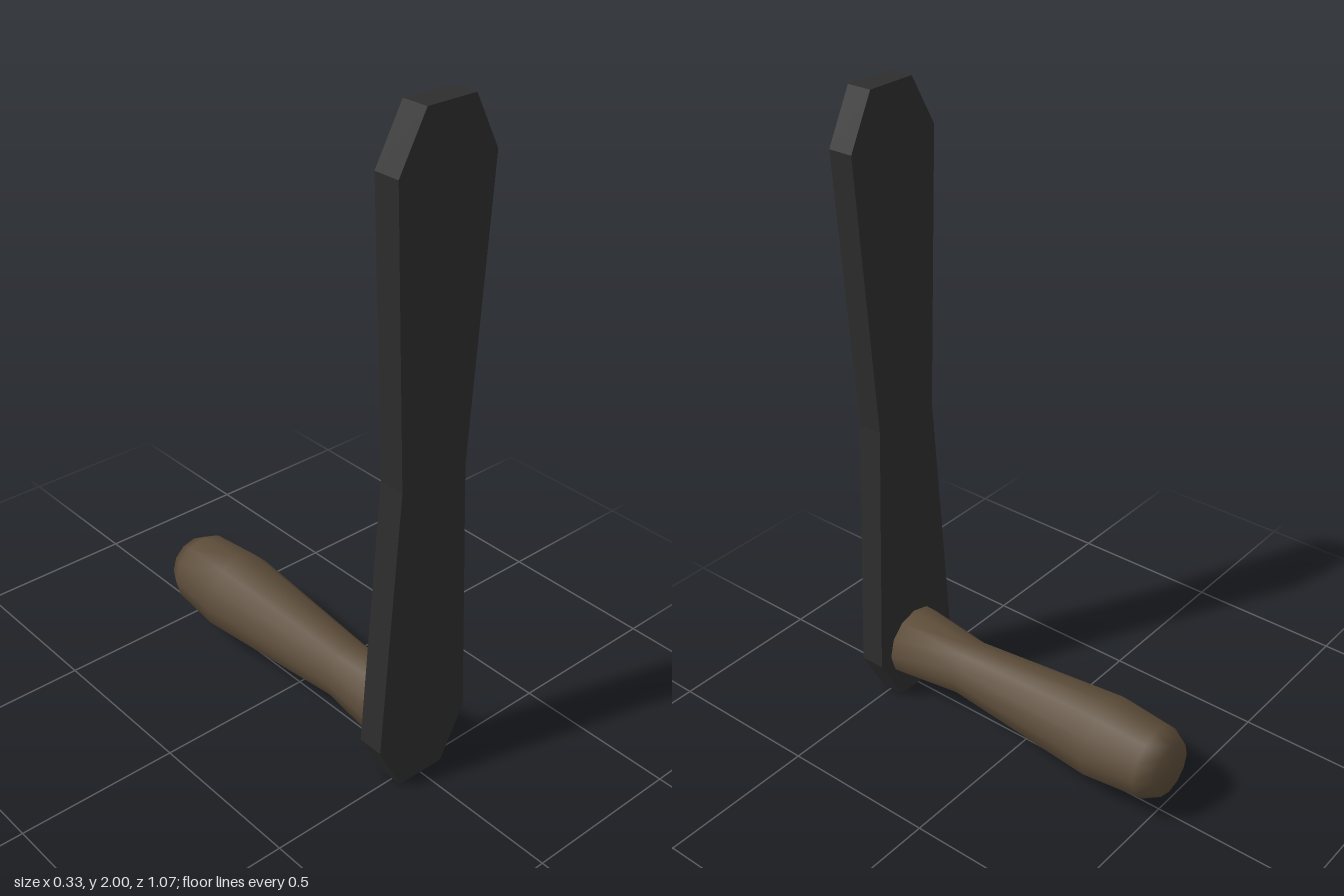
import * as THREE from 'three';

export function createModel() {
  const model = new THREE.Group();
  model.name = 'crankHandle';

  const darkMetal = new THREE.MeshStandardMaterial({ color: 0x2d2d2d });
  darkMetal.name = 'darkMetal';
  const brownWood = new THREE.MeshStandardMaterial({ color: 0x5c4c39 });
  brownWood.name = 'brownWood';

  // Flat arm: chamfered ends and a narrow waist, mirrored left to right
  const side = [[0.08, 0], [0.163, 0.16], [0.114, 0.99], [0.163, 1.845], [0.08, 2]];
  const outline = [...side, ...side.map(([x, y]) => [-x, y]).reverse()];
  const armShape = new THREE.Shape(outline.map(([x, y]) => new THREE.Vector2(x, y)));
  const armGeometry = new THREE.ExtrudeGeometry(armShape, { depth: 0.08, bevelEnabled: false });
  armGeometry.translate(0, 0, 0.453);
  const arm = new THREE.Mesh(armGeometry, darkMetal);
  arm.name = 'arm';
  model.add(arm);

  // Turned grip pointing backwards: radius and z from the arm to the rounded tip
  const profile = [
    [0, 0.455], [0.116, 0.455], [0.09, 0.22], [0.132, -0.305],
    [0.116, -0.48], [0.086, -0.533], [0, -0.533],
  ];
  const gripGeometry = new THREE.LatheGeometry(
    profile.map(([r, z]) => new THREE.Vector2(r, -z)), 12);
  gripGeometry.rotateX(-Math.PI / 2);
  const grip = new THREE.Mesh(gripGeometry, brownWood);
  grip.name = 'grip';
  grip.position.set(0.003, 0.174, 0);
  model.add(grip);

  return model;
}
